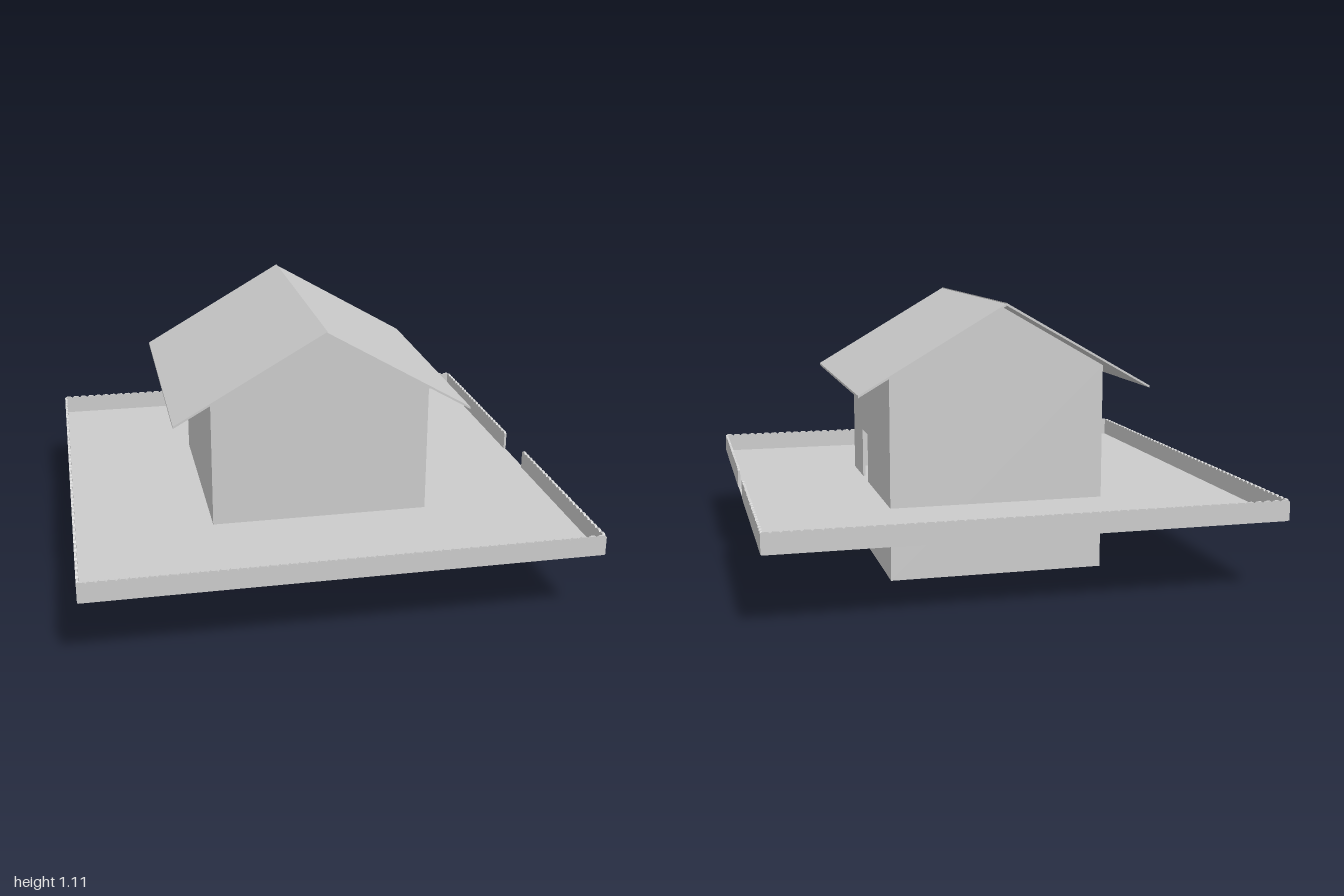
import * as THREE from 'three';

const GROUND = 0.295;

export function createModel() {
  const model = new THREE.Group();
  const material = new THREE.MeshStandardMaterial({ color: 0xcccccc, flatShading: true });

  function add(name, geometry, x = 0, y = 0, z = 0) {
    const mesh = new THREE.Mesh(geometry, material);
    mesh.name = name;
    mesh.position.set(x, y, z);
    model.add(mesh);
    return mesh;
  }
  const box = (name, w, h, d, x, y, z) => add(name, new THREE.BoxGeometry(w, h, d), x, y, z);
  const polygon = (pts) => new THREE.Shape(pts.map(([x, y]) => new THREE.Vector2(x, y)));
  const extrude = (shape, depth) =>
    new THREE.ExtrudeGeometry(shape, { depth, bevelEnabled: false });

  // Yard platform
  box('yard', 1.985, 0.004, 1.985, 0, GROUND - 0.002, 0);

  // House walls and foundation
  const hw = 0.44, front = 0.447, back = -0.437, eave = 0.84, t = 0.01;
  box('foundationBase', 2 * hw, 0.004, front - back, 0, 0.002, 0.005);
  box('frontWall', 2 * hw, eave, t, 0, eave / 2, front - t / 2);
  box('backWall', 2 * hw, eave, t, 0, eave / 2, back + t / 2);
  box('rightWall', t, eave, front - back - 2 * t, -hw + t / 2, eave / 2, 0.005);

  // Side wall with the door opening
  const doorWall = polygon([[back + t, 0], [front - t, 0], [front - t, eave], [back + t, eave]]);
  doorWall.holes.push(new THREE.Path([
    [0.085, GROUND], [0.085, 0.505], [0.215, 0.505], [0.215, GROUND],
  ].map(([x, y]) => new THREE.Vector2(x, y))));
  add('doorWall', extrude(doorWall, t).rotateY(-Math.PI / 2), hw);

  // Gable prism under the roof
  add('gable', extrude(polygon([[-hw, eave], [hw, eave], [0, 1.092]]), front - back), 0, 0, back);

  // Two thin roof slopes
  const slopes = {
    rightRoof: [[-0.597, 0.758], [0, 1.097], [0, 1.107], [-0.597, 0.767]],
    leftRoof: [[0, 1.094], [0.58, 0.757], [0.58, 0.766], [0, 1.103]],
  };
  for (const [name, pts] of Object.entries(slopes)) {
    add(name, extrude(polygon(pts), 1.107), 0, 0, -0.552);
  }

  // Fence run with a scalloped top, starting at its local origin
  function fenceRun(length) {
    const count = Math.round(length / 0.036), w = length / count, top = 0.072;
    const shape = new THREE.Shape();
    shape.moveTo(0, 0);
    shape.lineTo(length, 0);
    shape.lineTo(length, top);
    for (let i = count - 1; i >= 0; i--) {
      shape.lineTo((i + 0.75) * w, top + 0.007);
      shape.lineTo((i + 0.25) * w, top + 0.007);
      shape.lineTo(i * w, top);
    }
    return extrude(shape, 0.01);
  }
  add('frontFence', fenceRun(1.99), -0.995, GROUND, 0.985);
  add('backFence', fenceRun(1.99), -0.995, GROUND, -0.997);
  const sideFence = (name, x, z0, z1) =>
    add(name, fenceRun(z1 - z0).rotateY(-Math.PI / 2), x, GROUND, z0);
  sideFence('rightFence', -0.985, -0.987, 0.985);
  sideFence('leftFenceBack', 0.995, -0.987, -0.11);
  sideFence('leftFenceFront', 0.995, 0.118, 0.985);

  return model;
}
